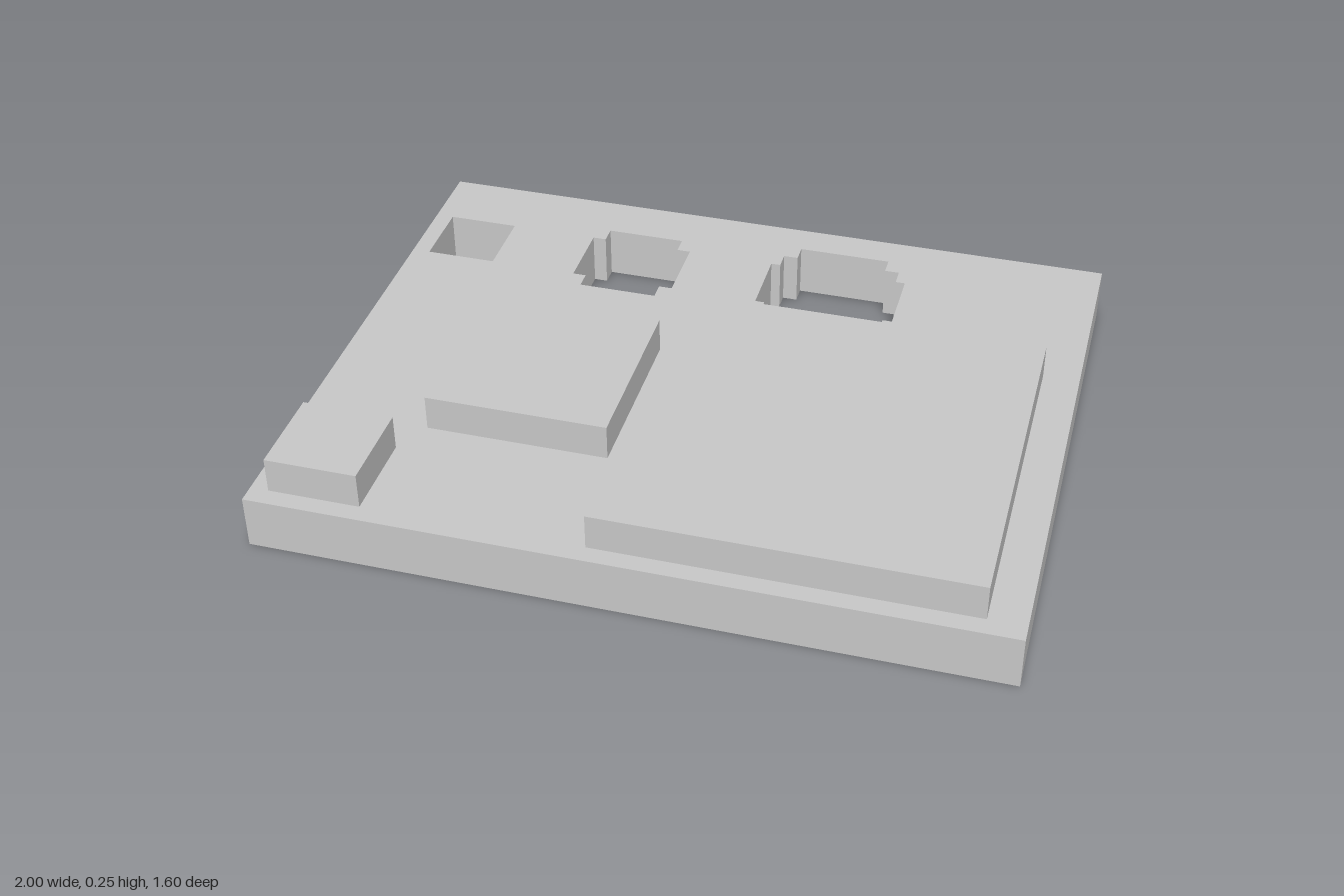
import * as THREE from 'three';

const PLATE_H = 0.15;
const BLOCK_H = 0.1;

// Stepped round hole: corners of one quadrant, as [half width, half depth], mirrored four ways
function steppedHole(cx, cz, steps) {
  const quadrant = [];
  steps.forEach(([w, d], i) => {
    if (i > 0) quadrant.push([w, steps[i - 1][1]]);
    quadrant.push([w, d]);
  });
  const back = [...quadrant].reverse();
  const points = [
    ...quadrant,
    ...back.map(([w, d]) => [-w, d]),
    ...quadrant.map(([w, d]) => [-w, -d]),
    ...back.map(([w, d]) => [w, -d]),
  ];
  // the shape's y axis becomes -z once the plate is laid flat
  return new THREE.Path(points.map(([x, y]) => new THREE.Vector2(cx + x, -cz + y)));
}

export function createModel() {
  const model = new THREE.Group();
  const lightGrey = new THREE.MeshStandardMaterial({ color: 0xc9c9c9 });
  lightGrey.name = 'lightGrey';

  // Base plate with three through holes along the back
  const outline = new THREE.Shape([
    new THREE.Vector2(-1, -0.8),
    new THREE.Vector2(1, -0.8),
    new THREE.Vector2(1, 0.8),
    new THREE.Vector2(-1, 0.8),
  ]);
  outline.holes.push(
    steppedHole(-0.85, -0.5, [[0.1, 0.1]]),
    steppedHole(-0.35, -0.5, [[0.15, 0.1], [0.112, 0.15]]),
    steppedHole(0.25, -0.5, [[0.2, 0.1], [0.173, 0.15], [0.132, 0.2]]),
  );
  const plateGeometry = new THREE.ExtrudeGeometry(outline, { depth: PLATE_H, bevelEnabled: false });
  plateGeometry.rotateX(-Math.PI / 2);
  const plate = new THREE.Mesh(plateGeometry, lightGrey);
  plate.name = 'basePlate';
  model.add(plate);

  // Raised square blocks: name, side, centre x, centre z
  const blocks = [
    ['smallBlock', 0.25, -0.825, 0.625],
    ['mediumBlock', 0.5, -0.4, 0.15],
    ['largeBlock', 1, 0.4, 0.25],
  ];
  for (const [name, side, x, z] of blocks) {
    const block = new THREE.Mesh(new THREE.BoxGeometry(side, BLOCK_H, side), lightGrey);
    block.name = name;
    block.position.set(x, PLATE_H + BLOCK_H / 2, z);
    model.add(block);
  }

  return model;
}
